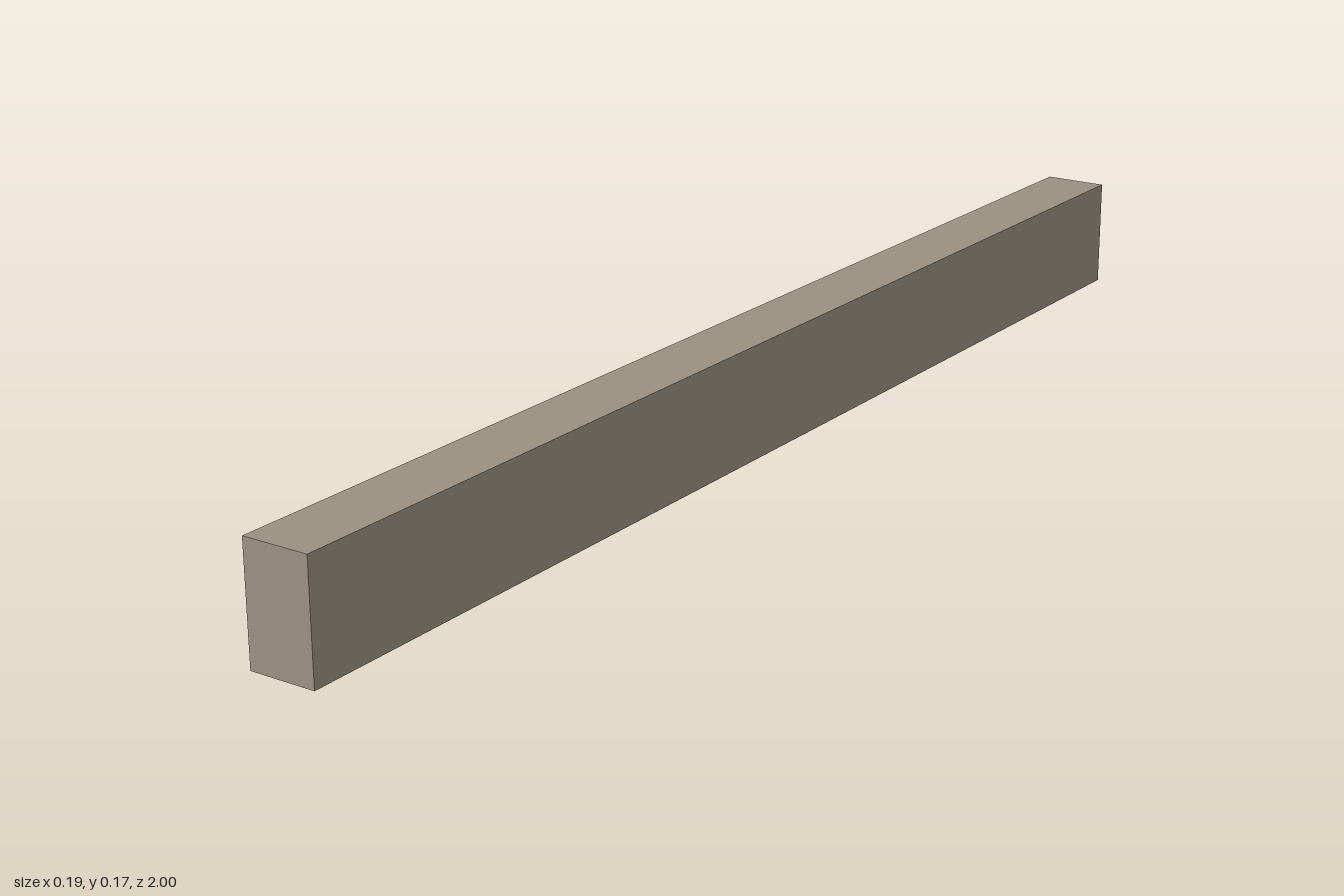
import * as THREE from 'three';

export function createModel() {
  const model = new THREE.Group();
  model.name = 'pegRail';
  const wood = new THREE.MeshStandardMaterial({ color: 0x9b9181 });
  const pink = new THREE.MeshStandardMaterial({ color: 0xd062d0, flatShading: true });

  // Long rectangular rail, offset to make room for the pegs
  const rail = new THREE.Mesh(new THREE.BoxGeometry(0.1, 0.17, 2), wood);
  rail.name = 'rail';
  rail.position.set(0.041, 0.085, 0);
  model.add(rail);

  // Peg profile: straight shaft, flared head, shallow pointed cap
  const profile = [
    [0.023, 0], [0.023, 0.031], [0.035, 0.051], [0.032, 0.066], [0, 0.085],
  ].map(([r, h]) => new THREE.Vector2(r, h));
  const pegGeometry = new THREE.LatheGeometry(profile, 12);
  pegGeometry.rotateZ(Math.PI / 2);

  // Row of pegs with slightly uneven, hand-set spacing
  const pegZ = [-0.845, -0.664, -0.472, -0.281, -0.09, 0.093, 0.286, 0.467, 0.647, 0.827];
  pegZ.forEach((z, i) => {
    const peg = new THREE.Mesh(pegGeometry, pink);
    peg.name = `peg${i + 1}`;
    peg.position.set(-0.009, 0.088, z);
    model.add(peg);
  });

  return model;
}
